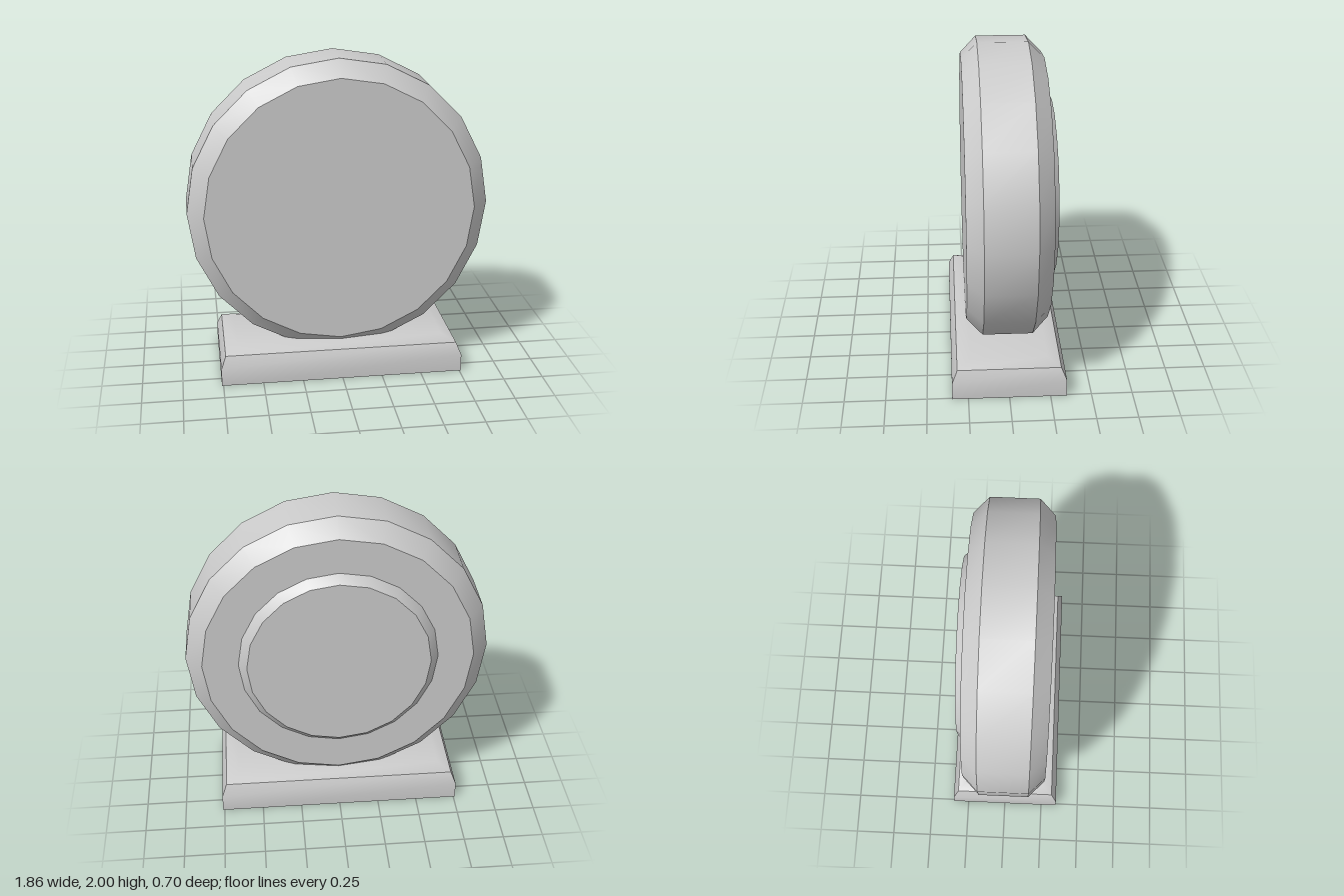
import * as THREE from 'three';
import { toCreasedNormals } from 'three/addons/utils/BufferGeometryUtils.js';

const CREASE = 0.6;
const CENTRE_Y = 1.07;
const material = new THREE.MeshStandardMaterial({ color: 0xcccccc });

function addMesh(group, name, geometry) {
  const mesh = new THREE.Mesh(toCreasedNormals(geometry, CREASE), material);
  mesh.name = name;
  group.add(mesh);
  return mesh;
}

// 20-sided turned solid lying along z; profile is [radius, z] from back to front
function turned(profile) {
  const points = profile.map(([r, z]) => new THREE.Vector2(r, z));
  return new THREE.LatheGeometry(points, 20).rotateX(Math.PI / 2);
}

// Solid from stacked rectangles [halfX, halfZ, y], bottom to top
function stackedRects(rings) {
  const corners = [[1, 1], [1, -1], [-1, -1], [-1, 1]];
  const positions = [];
  const index = [];
  rings.forEach(([hx, hz, y], k) => {
    corners.forEach(([sx, sz]) => positions.push(sx * hx, y, sz * hz));
    if (k === 0) return;
    for (let i = 0; i < 4; i++) {
      const a = (k - 1) * 4 + i;
      const b = (k - 1) * 4 + (i + 1) % 4;
      index.push(a, b, b + 4, a, b + 4, a + 4);
    }
  });
  const t = (rings.length - 1) * 4;
  index.push(0, 2, 1, 0, 3, 2, t, t + 1, t + 2, t, t + 2, t + 3);
  const geometry = new THREE.BufferGeometry();
  geometry.setAttribute('position', new THREE.Float32BufferAttribute(positions, 3));
  geometry.setIndex(index);
  return geometry;
}

export function createModel() {
  const model = new THREE.Group();
  model.name = 'roundClock';

  // Foot with softened upper edges
  addMesh(model, 'base', stackedRects([
    [0.76, 0.348, 0],
    [0.76, 0.348, 0.11],
    [0.73, 0.315, 0.185],
    [0.65, 0.235, 0.215],
  ]));

  // Round case, bevelled front and back
  addMesh(model, 'case', turned([
    [0, -0.25], [0.83, -0.25], [0.93, -0.153], [0.93, 0.153], [0.83, 0.25], [0, 0.25],
  ])).position.y = CENTRE_Y;

  // Raised cover on the back
  addMesh(model, 'backCover', turned([
    [0, -0.3], [0.56, -0.3], [0.61, -0.25], [0.61, -0.24],
  ])).position.y = CENTRE_Y;

  return model;
}
